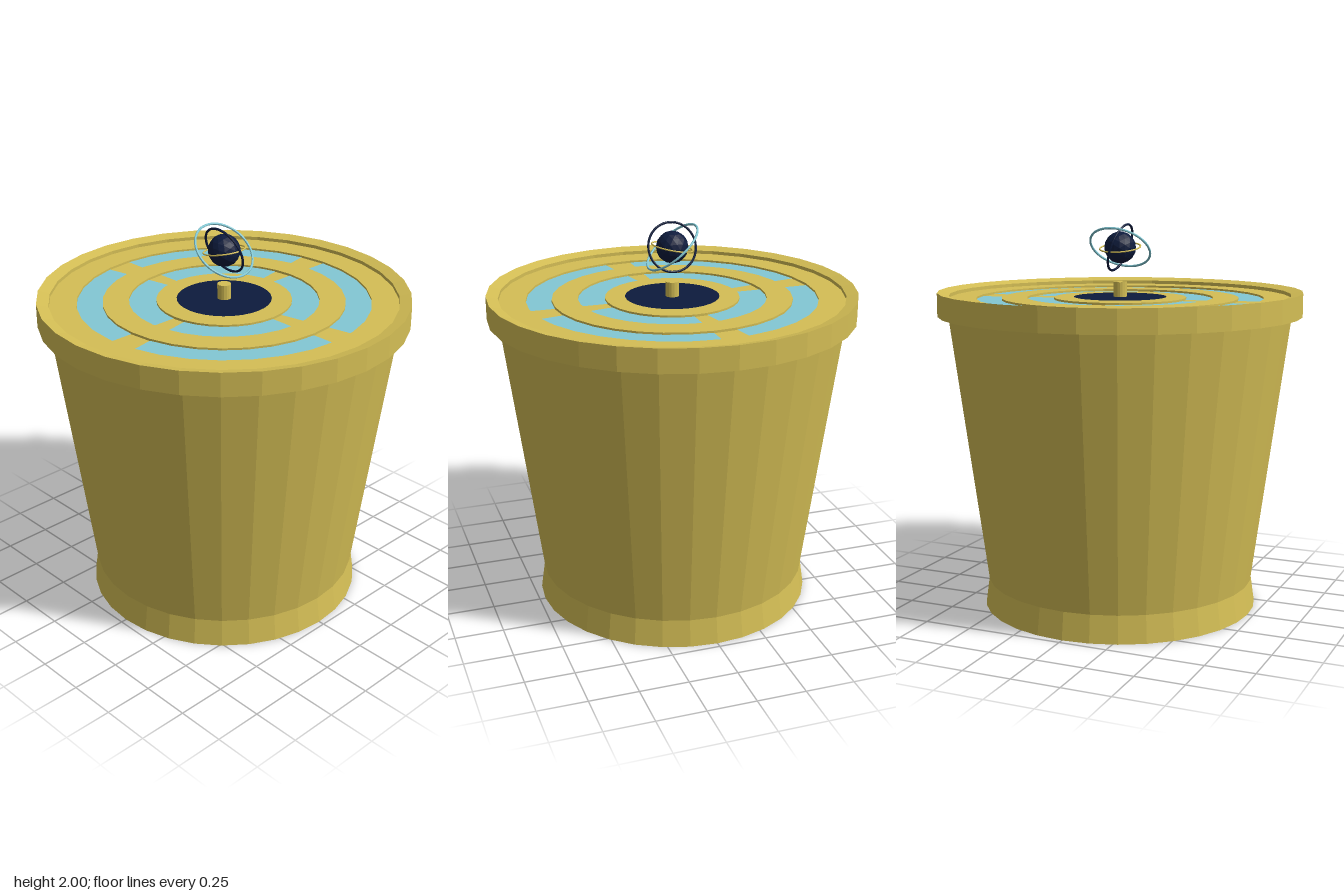
import * as THREE from 'three';

const SIDES = 32;
const STEP = (Math.PI * 2) / SIDES;

const material = (color) => new THREE.MeshStandardMaterial({ color, flatShading: true });

export function createModel() {
  const model = new THREE.Group();
  const gold = material(0xd4be55);
  const blue = material(0x82c8d4);
  const navy = material(0x0d1b3d);

  const add = (name, geometry, mat, y = 0, parent = model) => {
    const mesh = new THREE.Mesh(geometry, mat);
    mesh.name = name;
    mesh.position.y = y;
    parent.add(mesh);
    return mesh;
  };

  // Heights of the raised gold rings and of the channels between them
  const high = 1.622, low = 1.61;

  // Tapered drum with flared foot, overhanging rim and stepped circular top
  const profile = [
    [0, 0], [0.72, 0], [0.7, 0.14], [0.885, 1.535], [0.94, 1.535], [0.94, 1.655],
    [0.88, 1.64], [0.88, high], [0.742, high], [0.742, low], [0.612, low], [0.612, high],
    [0.48, high], [0.48, low], [0.342, low], [0.342, high], [0, high],
  ].map(([x, y]) => new THREE.Vector2(x, y));
  add('drum', new THREE.LatheGeometry(profile, SIDES), gold);

  // Four blue inlays in each channel, with a one-facet gold gap between them
  const inlays = new THREE.Group();
  inlays.name = 'inlays';
  model.add(inlays);
  for (const [inner, outer] of [[0.342, 0.48], [0.612, 0.742]]) {
    for (let i = 0; i < 4; i++) {
      const arc = new THREE.RingGeometry(inner, outer, 7, 1, i * Math.PI / 2 + STEP, 7 * STEP);
      add('inlay', arc.rotateX(-Math.PI / 2), blue, low + 0.002, inlays);
    }
  }

  // Dark centre plate and short post
  add('centrePlate', new THREE.CircleGeometry(0.24, SIDES).rotateX(-Math.PI / 2), navy, high + 0.002);
  add('post', new THREE.CylinderGeometry(0.035, 0.035, 0.08, 16), gold, 1.66);

  // Floating globe with three tilted rings
  const globe = new THREE.Group();
  globe.name = 'floatingGlobe';
  globe.position.y = 1.876;
  model.add(globe);
  add('globe', new THREE.IcosahedronGeometry(0.082, 2), navy, 0, globe);

  const ring = (radius, tube) => new THREE.TorusGeometry(radius, tube, 8, 48);
  add('wideRing', ring(0.159, 0.006).rotateX(Math.PI / 2 + 0.7), blue, 0, globe);
  add('uprightRing', ring(0.125, 0.006).rotateY(Math.PI / 2).rotateZ(0.34), navy, 0, globe);
  add('innerRing', ring(0.105, 0.004).rotateX(Math.PI / 2 - 0.19), gold, 0, globe);

  return model;
}
